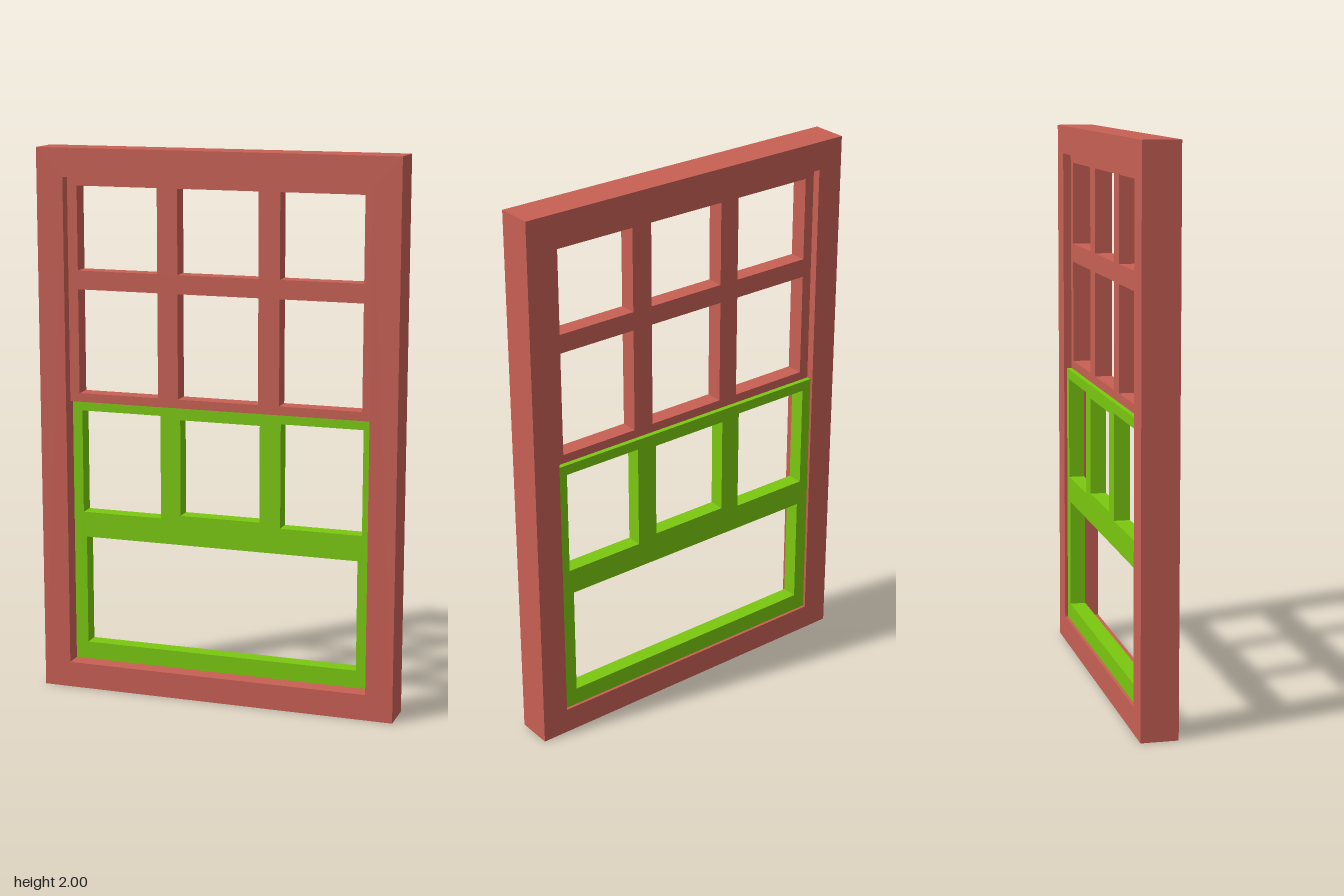
import * as THREE from 'three';

// Flat panel with rectangular openings; rectangles are [x0, y0, x1, y1].
function panel(name, color, outer, holes, zBack, zFront) {
  const trace = (path, [x0, y0, x1, y1]) => {
    path.moveTo(x0, y0).lineTo(x1, y0).lineTo(x1, y1).lineTo(x0, y1).closePath();
    return path;
  };
  const shape = trace(new THREE.Shape(), outer);
  shape.holes = holes.map((hole) => trace(new THREE.Path(), hole));
  const geometry = new THREE.ExtrudeGeometry(shape, { depth: zFront - zBack, bevelEnabled: false });
  geometry.translate(0, 0, zBack);
  const mesh = new THREE.Mesh(geometry, new THREE.MeshStandardMaterial({ color }));
  mesh.name = name;
  return mesh;
}

export function createModel() {
  const red = 0xc86054, green = 0x7bc810;
  const group = new THREE.Group();
  group.name = 'sashWindow';

  // Outer casing
  const opening = [-0.567, 0.095, 0.567, 1.897];
  group.add(panel('outerFrame', red, [-0.667, 0, 0.667, 2], [opening], -0.066, 0.066));

  // Upper sash: two rows of three panes
  const columns = [[-0.53, -0.226], [-0.15, 0.15], [0.228, 0.53]];
  const rows = [[1.112, 1.492], [1.56, 1.864]];
  const upperPanes = rows.flatMap(([y0, y1]) => columns.map(([x0, x1]) => [x0, y0, x1, y1]));
  group.add(panel('upperSash', red, [-0.567, 1.08, 0.567, 1.897], upperPanes, -0.037, 0.026));

  // Lower sash: three panes above one wide pane, set further back
  const lowerPanes = columns.map(([x0, x1], i) =>
    i === 1 ? [x0, 0.677, x1, 1.032] : [x0, 0.661, x1, 1.043]);
  lowerPanes.push([-0.519, 0.16, 0.515, 0.567]);
  group.add(panel('lowerSash', green, [-0.567, 0.095, 0.567, 1.08], lowerPanes, -0.055, 0.003));

  return group;
}
